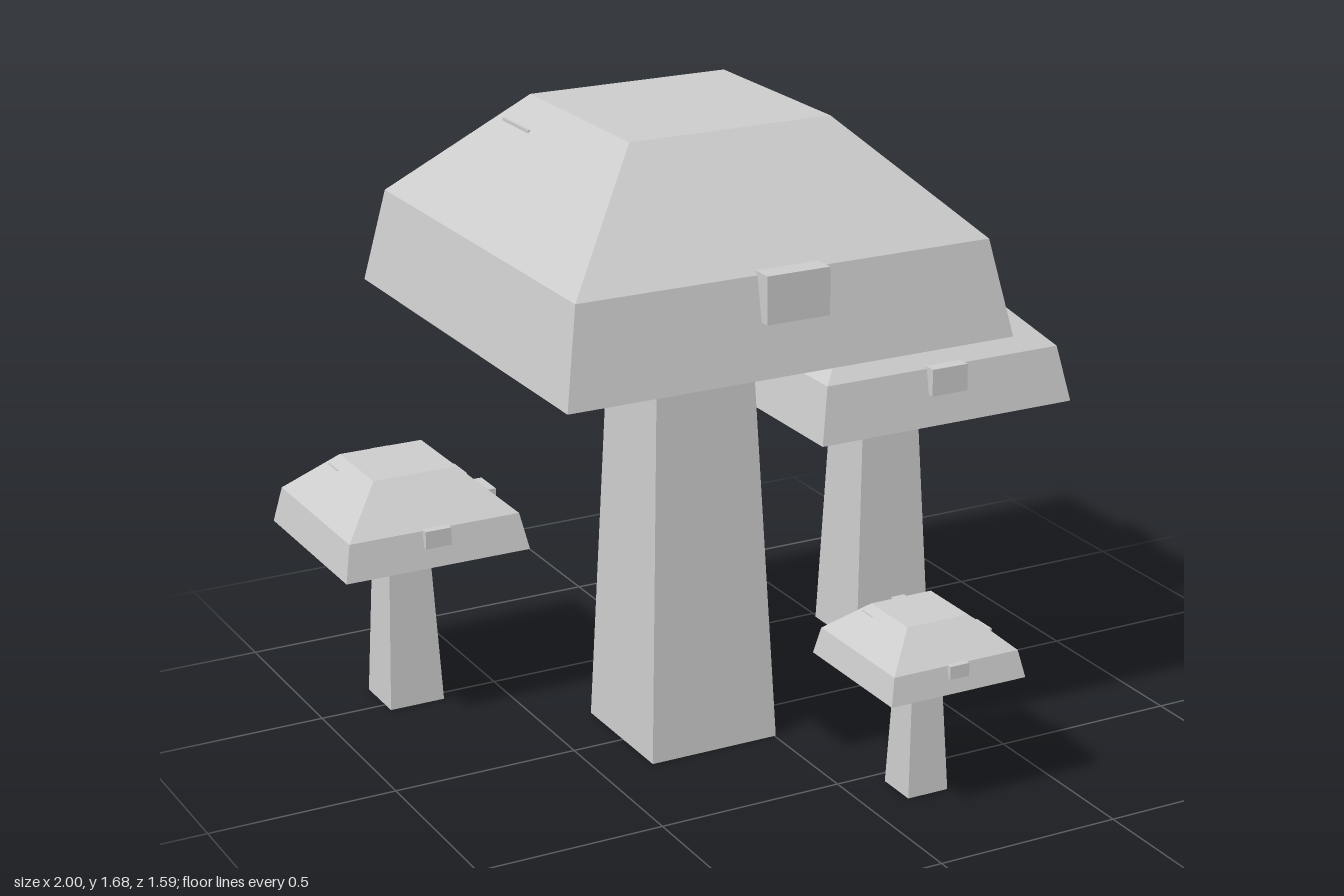
import * as THREE from 'three';

// Four-sided solid from [half width, height] rings, bottom to top, with crisp faces
function squareLathe(rings) {
  const points = rings.map(([half, y]) => new THREE.Vector2(half * Math.SQRT2, y));
  const geometry = new THREE.LatheGeometry(points, 4, Math.PI / 4).toNonIndexed();
  geometry.computeVertexNormals();
  return geometry;
}

// Box from its minimum and maximum corners
function boxBetween(min, max) {
  const size = max.map((v, i) => v - min[i]);
  const mid = max.map((v, i) => (v + min[i]) / 2);
  return new THREE.BoxGeometry(...size).translate(...mid);
}

export function createModel() {
  const grey = new THREE.MeshStandardMaterial({ color: 0xcccccc });
  grey.name = 'pale grey';

  // Parts of the full-size mushroom, shared by all four
  const parts = {
    stem: squareLathe([[0, 0], [0.181, 0], [0.133, 1.14], [0, 1.14]]),
    gills: squareLathe([[0, 1.133], [0.524, 1.133], [0.524, 1.158], [0, 1.158]]),
    cap: squareLathe([[0, 1.155], [0.607, 1.155], [0.56, 1.4], [0.275, 1.68], [0, 1.68]]),
    // Blocky spots standing out of the cap
    frontSpot: boxBetween([-0.085, 1.29, 0.5], [0.085, 1.41, 0.609]),
    leftSpot: boxBetween([0.5, 1.26, -0.11], [0.609, 1.405, 0.11]),
    backSpot: boxBetween([0, 1.5, -0.425], [0.118, 1.62, -0.32]),
    // Nearly sunk spots, only their upper edges break the surface
    upperLeftSpot: boxBetween([0.24, 1.52, 0.085], [0.342, 1.622, 0.28]),
    upperRightSpot: boxBetween([-0.342, 1.52, -0.3], [-0.24, 1.622, -0.15]),
  };

  // Name, x, z, width scale, height scale
  const mushrooms = [
    ['largeMushroom', -0.177, -0.01, 1, 1],
    ['mediumMushroom', 0.61, -0.36, 0.64, 0.625],
    ['smallMushroom', -0.742, -0.538, 0.425, 0.4],
    ['tinyMushroom', 0.172, 0.6, 0.318, 0.288],
  ];

  const model = new THREE.Group();
  model.name = 'mushroomCluster';
  for (const [name, x, z, width, height] of mushrooms) {
    const mushroom = new THREE.Group();
    mushroom.name = name;
    for (const [part, geometry] of Object.entries(parts)) {
      const mesh = new THREE.Mesh(geometry, grey);
      mesh.name = part;
      mushroom.add(mesh);
    }
    mushroom.position.set(x, 0, z);
    mushroom.scale.set(width, height, width);
    model.add(mushroom);
  }
  return model;
}
